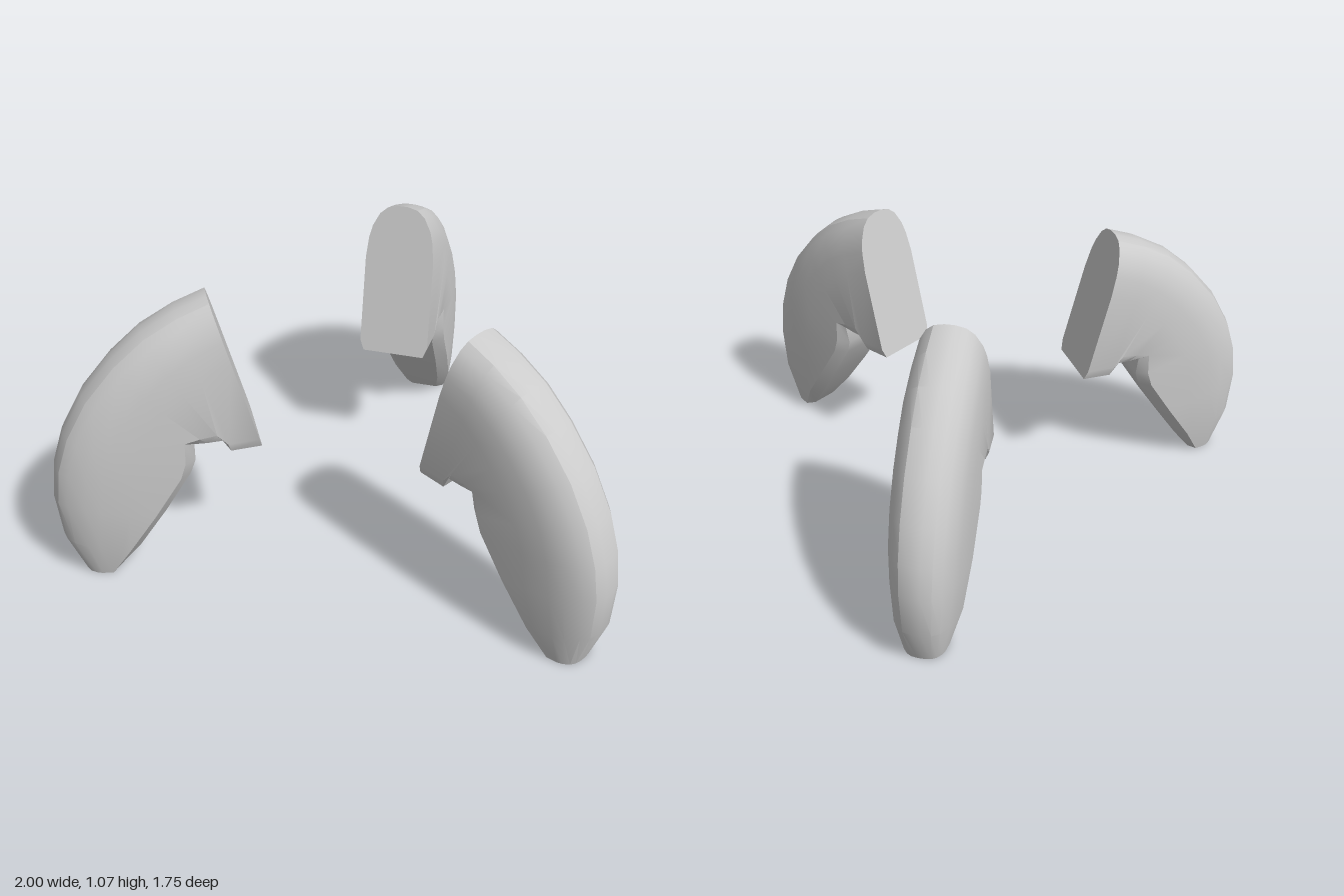
import * as THREE from 'three';
import { toCreasedNormals } from 'three/addons/utils/BufferGeometryUtils.js';

// Stations down the claw: outer radius, outer y, inner radius, inner y, width factor, inner chamfer
const STATIONS = [
  [0.54, 1.065, 0.40, 0.495, 0.96, 0.015],
  [0.65, 1.025, 0.51, 0.495, 0.98, 0.015],
  [0.77, 0.96, 0.537, 0.545, 1, 0.015],
  [0.88, 0.867, 0.59, 0.545, 1, 0.015],
  [0.99, 0.74, 0.635, 0.545, 1, 0.02],
  [1.07, 0.60, 0.635, 0.467, 1, 0.035],
  [1.115, 0.467, 0.655, 0.41, 0.99, 0.04],
  [1.133, 0.34, 0.755, 0.256, 0.95, 0.04],
  [1.12, 0.167, 0.86, 0.105, 0.85, 0.04],
  [1.06, 0, 0.945, 0, 0.6, 0.03],
];

// Rounded back of the cross-section: depth from the outer edge, half width
const CAP = [[0, 0.02], [0.01, 0.06], [0.035, 0.09], [0.085, 0.117], [0.13, 0.129], [0.21, 0.138]];

// Half outline of one section as [half width, fraction from outer to inner edge]
function halfSection(length, width, chamfer, stretch) {
  const scale = Math.min(stretch, (0.75 * length) / 0.21);
  const half = CAP.map(([d, w]) => [w * width, (d * scale) / length]);
  const side = 0.14 * width;
  half.push([side, 1 - Math.min(0.04, length * 0.2) / length]);
  half.push([side - chamfer, 1]);
  return half;
}

function clawGeometry() {
  const pos = [], index = [];
  let n = 0;
  STATIONS.forEach(([ro, yo, ri, yi, width, chamfer], i) => {
    const half = halfSection(Math.hypot(ro - ri, yo - yi), width, chamfer, 1 + 0.03 * i);
    const ring = [...half.map(([w, t]) => [-w, t]).reverse(), ...half];
    n = ring.length;
    for (const [x, t] of ring) pos.push(x, yo + (yi - yo) * t, -(ro + (ri - ro) * t));
  });
  // Skin between stations
  const last = STATIONS.length - 1;
  for (let i = 0; i < last; i++) {
    for (let j = 0; j < n; j++) {
      const k = (j + 1) % n;
      const a = i * n + j, b = i * n + k, c = a + n, d = b + n;
      index.push(a, b, c, b, d, c);
    }
  }
  // Flat end faces
  for (let j = 1; j < n - 1; j++) {
    index.push(0, j + 1, j);
    index.push(last * n, last * n + j, last * n + j + 1);
  }
  const geo = new THREE.BufferGeometry();
  geo.setAttribute('position', new THREE.Float32BufferAttribute(pos, 3));
  geo.setIndex(index);
  return toCreasedNormals(geo, 0.45);
}

export function createModel() {
  const model = new THREE.Group();
  model.name = 'threeClaws';
  const material = new THREE.MeshStandardMaterial({ color: 0xcccccc });
  const geometry = clawGeometry();
  // Three equal claws around a shared vertical axis
  ['backClaw', 'frontRightClaw', 'frontLeftClaw'].forEach((name, i) => {
    const claw = new THREE.Mesh(geometry, material);
    claw.name = name;
    claw.position.z = 0.26;
    claw.rotation.y = (i * Math.PI * 2) / 3;
    model.add(claw);
  });
  return model;
}
